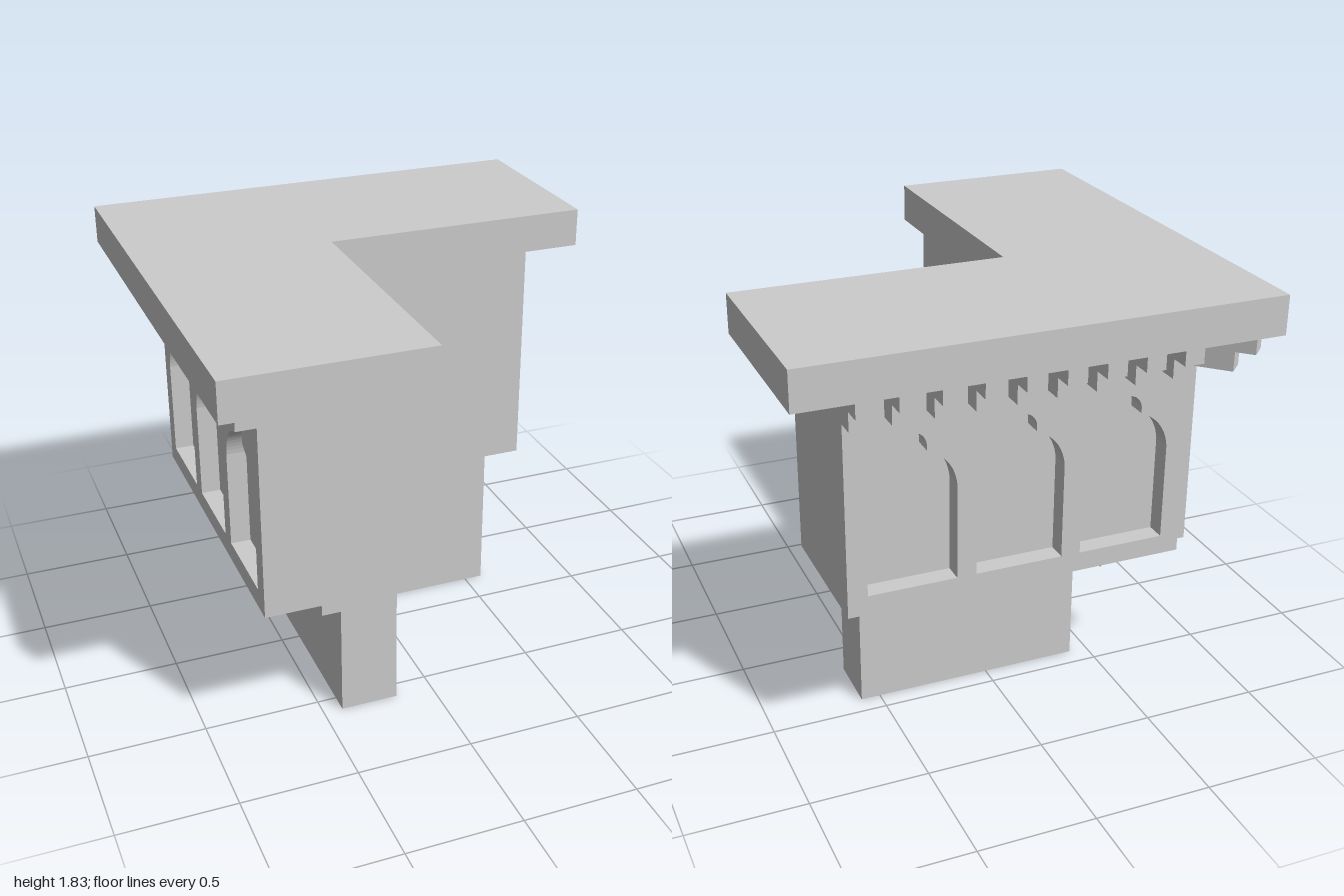
import * as THREE from 'three';

const mat = new THREE.MeshStandardMaterial({ color: 0xcccccc, flatShading: true });

function add(parent, name, geometry) {
  const mesh = new THREE.Mesh(geometry, mat);
  mesh.name = name;
  parent.add(mesh);
  return mesh;
}

// L-shaped block: outer corner at (outer, outer), arms reaching to end
function lBlock(parent, name, outer, end, y0, y1) {
  const inner = -2;
  const pts = [[outer, outer], [end, outer], [end, inner], [inner, inner], [inner, end], [outer, end]];
  const shape = new THREE.Shape(pts.map(([x, z]) => new THREE.Vector2(x, z)));
  const geo = new THREE.ExtrudeGeometry(shape, { depth: y1 - y0, bevelEnabled: false });
  geo.rotateX(Math.PI / 2).translate(0, y1, 0);
  return add(parent, name, geo);
}

// Niche outline: straight jambs, curved shoulders and a small round head
function archHole(cx) {
  const p = new THREE.Path();
  p.moveTo(cx - 2.25, 9);
  p.lineTo(cx + 2.25, 9);
  p.lineTo(cx + 2.25, 14);
  p.quadraticCurveTo(cx + 2.1, 15.4, cx + 0.75, 16);
  p.lineTo(cx + 0.75, 16.25);
  p.absarc(cx, 16.25, 0.75, 0, Math.PI, false);
  p.lineTo(cx - 0.75, 16);
  p.quadraticCurveTo(cx - 2.1, 15.4, cx - 2.25, 14);
  p.closePath();
  return p;
}

function archedPanel() {
  const shape = new THREE.Shape();
  shape.moveTo(-8.5, 8).lineTo(9, 8).lineTo(9, 20).lineTo(-8.5, 20).closePath();
  for (const cx of [5.75, 0.25, -5.25]) shape.holes.push(archHole(cx));
  return new THREE.ExtrudeGeometry(shape, { depth: 1, bevelEnabled: false, curveSegments: 12 });
}

// Row of two-step brackets along both outer faces, with a diagonal one at the corner
function brackets(parent, name, face, end, top, count, cornerTip, root) {
  const row = new THREE.Group();
  row.name = name;
  parent.add(row);
  for (let step = 0; step < 2; step++) {
    const y = top - 0.5 - step;
    const tip = face - 2 + step;
    const inside = step ? face : root;
    const len = inside - tip, mid = (inside + tip) / 2;
    for (let i = 0; i < count; i++) {
      const along = end - 0.5 - i * 2;
      add(row, 'backBracket', new THREE.BoxGeometry(1, 1, len)).position.set(along, y, mid);
      add(row, 'leftBracket', new THREE.BoxGeometry(len, 1, 1)).position.set(mid, y, along);
    }
    const outer = cornerTip + step * Math.SQRT1_2;
    const innerEnd = face + 1;
    const c = (outer + innerEnd) / 2;
    const corner = add(row, 'cornerBracket', new THREE.BoxGeometry(1, 1, (innerEnd - outer) * Math.SQRT2));
    corner.position.set(c, y, c);
    corner.rotation.y = Math.PI / 4;
  }
}

export function createModel() {
  const model = new THREE.Group();
  model.name = 'cornerParapet';
  // Dimensions below are in twelfths of a unit
  const body = new THREE.Group();
  body.name = 'masonry';
  body.scale.setScalar(1 / 12);
  model.add(body);

  lBlock(body, 'base', -5, 7, 0, 8);
  lBlock(body, 'wallCore', -8.5, 9, 8, 20);
  lBlock(body, 'topSlab', -12, 12, 20, 22);

  // Arched facing panels on the two outer sides, leaving a notch at the corner
  add(body, 'backPanel', archedPanel()).position.z = -9.5;
  const left = add(body, 'leftPanel', archedPanel());
  left.rotation.y = -Math.PI / 2;
  left.position.x = -8.5;

  brackets(body, 'upperBrackets', -9.5, 9, 20, 9, -11.15, -8.5);
  brackets(body, 'lowerBrackets', -5, 7, 8, 6, -6.9, -5);
  return model;
}
